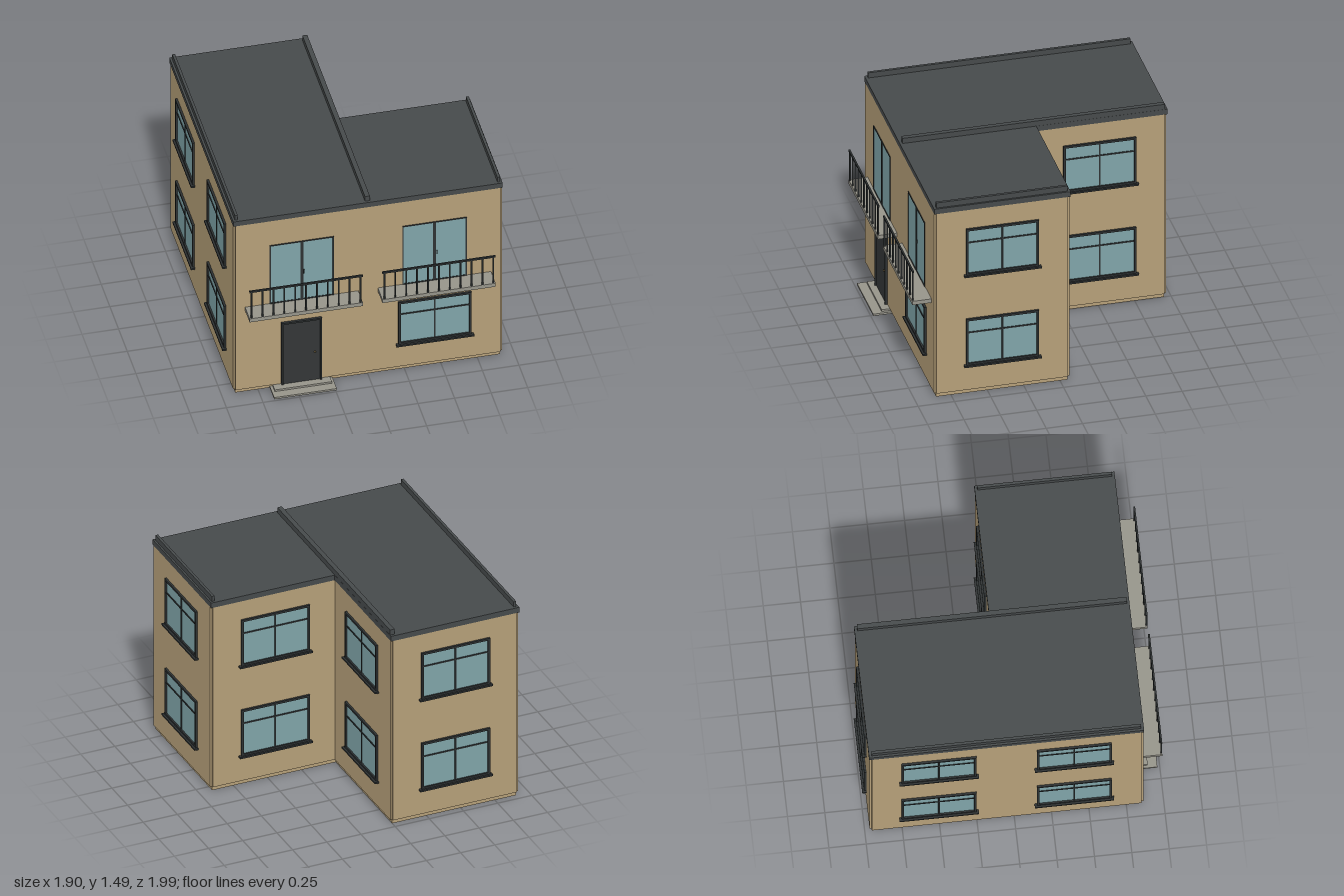
import * as THREE from 'three';

const mat = (name, color, extra = {}) => {
  const m = new THREE.MeshStandardMaterial({ color, ...extra });
  m.name = name;
  return m;
};

export function createModel() {
  const wall = mat('sand wall', 0xb59f78);
  const roofGrey = mat('roof grey', 0x464a4b);
  const frameDark = mat('frame charcoal', 0x2d3132);
  const glass = mat('window glass', 0x7fa4a8);
  const concrete = mat('concrete', 0x96948a);
  const doorDark = mat('door black', 0x333637);
  const brass = mat('brass', 0x6b5a35);

  const house = new THREE.Group();
  house.name = 'house';

  // Box given by its minimum and maximum corners
  const box = (parent, name, material, [x0, y0, z0], [x1, y1, z1]) => {
    const mesh = new THREE.Mesh(new THREE.BoxGeometry(x1 - x0, y1 - y0, z1 - z0), material);
    mesh.position.set((x0 + x1) / 2, (y0 + y1) / 2, (z0 + z1) / 2);
    mesh.name = name;
    parent.add(mesh);
    return mesh;
  };

  // L-shaped storey block: long wing on -x, short wing on +x
  const lBlock = (name, material, { left, right, front, back, innerX, innerZ }, y0, y1) => {
    const shape = new THREE.Shape([
      [left, front], [right, front], [right, innerZ], [innerX, innerZ], [innerX, back], [left, back],
    ].map(([x, z]) => new THREE.Vector2(x, -z)));
    const geo = new THREE.ExtrudeGeometry(shape, { depth: y1 - y0, bevelEnabled: false });
    geo.rotateX(-Math.PI / 2);
    const mesh = new THREE.Mesh(geo, material);
    mesh.position.y = y0;
    mesh.name = name;
    house.add(mesh);
  };

  // Core, which shows as the plinth and in the corner notches
  lBlock('core', wall, { left: -0.905, right: 0.905, front: 0.852, back: -0.953, innerX: 0, innerZ: -0.052 }, 0, 1.41);

  // Facade slabs laid over the core
  const Y0 = 0.03, Y1 = 1.408, T = 0.014;
  box(house, 'frontFacade', wall, [-0.905, Y0, 0.852], [0.905, Y1, 0.852 + T]);
  box(house, 'leftFacade', wall, [0.905, Y0, -0.052], [0.905 + T, Y1, 0.852]);
  box(house, 'rightFacade', wall, [-0.905 - T, Y0, -0.953], [-0.905, Y1, 0.852]);
  box(house, 'wingBackFacade', wall, [0, Y0, -0.052 - T], [0.905, Y1, -0.052]);
  box(house, 'wingSideFacade', wall, [0, Y0, -0.953], [T, Y1, -0.052]);
  box(house, 'backFacade', wall, [-0.905, Y0, -0.953 - T], [0, Y1, -0.953]);

  // Roof slab and low parapets
  lBlock('roof', roofGrey, { left: -0.922, right: 0.92, front: 0.868, back: -0.972, innerX: 0.017, innerZ: -0.07 }, 1.408, 1.447);
  box(house, 'rightParapet', roofGrey, [-0.907, 1.447, -0.953], [-0.888, 1.486, 0.85]);
  box(house, 'middleParapet', roofGrey, [-0.017, 1.447, -0.953], [0.016, 1.486, 0.85]);
  box(house, 'leftParapet', roofGrey, [0.888, 1.447, -0.052], [0.907, 1.486, 0.85]);

  // Rectangular frame of four bars, standing on local z = 0
  const frame = (parent, hw, y0, y1, t, depth, withBottom = true) => {
    for (const s of [-1, 1]) {
      const a = s * hw, b = s * (hw - t);
      box(parent, 'frameSide', frameDark, [Math.min(a, b), y0, 0], [Math.max(a, b), y1, depth]);
    }
    box(parent, 'frameTop', frameDark, [-hw + t, y1 - t, 0], [hw - t, y1, depth]);
    if (withBottom) box(parent, 'frameBottom', frameDark, [-hw + t, y0, 0], [hw - t, y0 + t, depth]);
  };

  const place = (name, x, y, z, turn = 0) => {
    const g = new THREE.Group();
    g.name = name;
    g.position.set(x, y, z);
    g.rotation.y = turn;
    house.add(g);
    return g;
  };

  // Window with sill, mullion and transom; faces local +z
  const addWindow = (x, y, z, turn) => {
    const w = place('window', x, y, z, turn);
    box(w, 'pane', glass, [-0.24, 0.01, 0], [0.24, 0.345, 0.003]);
    frame(w, 0.25, 0, 0.353, 0.015, 0.015);
    box(w, 'mullion', frameDark, [-0.005, 0.012, 0], [0.005, 0.341, 0.008]);
    box(w, 'transom', frameDark, [-0.238, 0.241, 0], [0.238, 0.251, 0.008]);
    box(w, 'sill', frameDark, [-0.265, -0.01, 0], [0.265, 0.002, 0.029]);
  };
  const GROUND = 0.224, UPPER = 0.914;
  addWindow(0.455, GROUND, 0.866, 0);
  for (const y of [GROUND, UPPER]) {
    addWindow(0.919, y, 0.4, Math.PI / 2);
    addWindow(0.014, y, -0.505, Math.PI / 2);
    addWindow(-0.919, y, 0.4, -Math.PI / 2);
    addWindow(-0.919, y, -0.505, -Math.PI / 2);
    addWindow(0.452, y, -0.066, Math.PI);
    addWindow(-0.454, y, -0.967, Math.PI);
  }

  // Balconies with glazed double doors
  for (const side of [-1, 1]) {
    const b = place('balcony', side * 0.454, 0, 0.866);
    box(b, 'slab', concrete, [-0.387, 0.687, 0], [0.387, 0.716, 0.132]);
    box(b, 'doorGlass', glass, [-0.217, 0.718, 0], [0.217, 1.2, 0.002]);
    frame(b, 0.22, 0.716, 1.205, 0.008, 0.005);
    box(b, 'doorMeeting', frameDark, [-0.01, 0.72, 0], [0.01, 1.2, 0.005]);
    box(b, 'doorHandle', frameDark, [0.012, 0.935, 0], [0.018, 0.965, 0.01]);
    box(b, 'handrail', frameDark, [-0.387, 0.932, 0.12], [0.387, 0.945, 0.132]);
    for (let i = 0; i < 11; i++) {
      const x = -0.372 + i * 0.0744;
      box(b, 'baluster', frameDark, [x - 0.005, 0.716, 0.121], [x + 0.005, 0.934, 0.131]);
    }
  }

  // Entrance door with two shallow steps
  const d = place('entrance', -0.456, 0, 0.866);
  box(d, 'doorLeaf', doorDark, [-0.124, 0.03, 0], [0.124, 0.528, 0.008]);
  frame(d, 0.138, 0.03, 0.546, 0.013, 0.018, false);
  const knob = new THREE.Mesh(new THREE.SphereGeometry(0.007, 12, 8), brass);
  knob.name = 'doorKnob';
  knob.position.set(0.09, 0.266, 0.012);
  d.add(knob);
  box(d, 'upperStep', concrete, [-0.195, 0.014, -0.012], [0.195, 0.028, 0.055]);
  box(d, 'lowerStep', concrete, [-0.214, 0, -0.012], [0.214, 0.014, 0.118]);

  return house;
}
